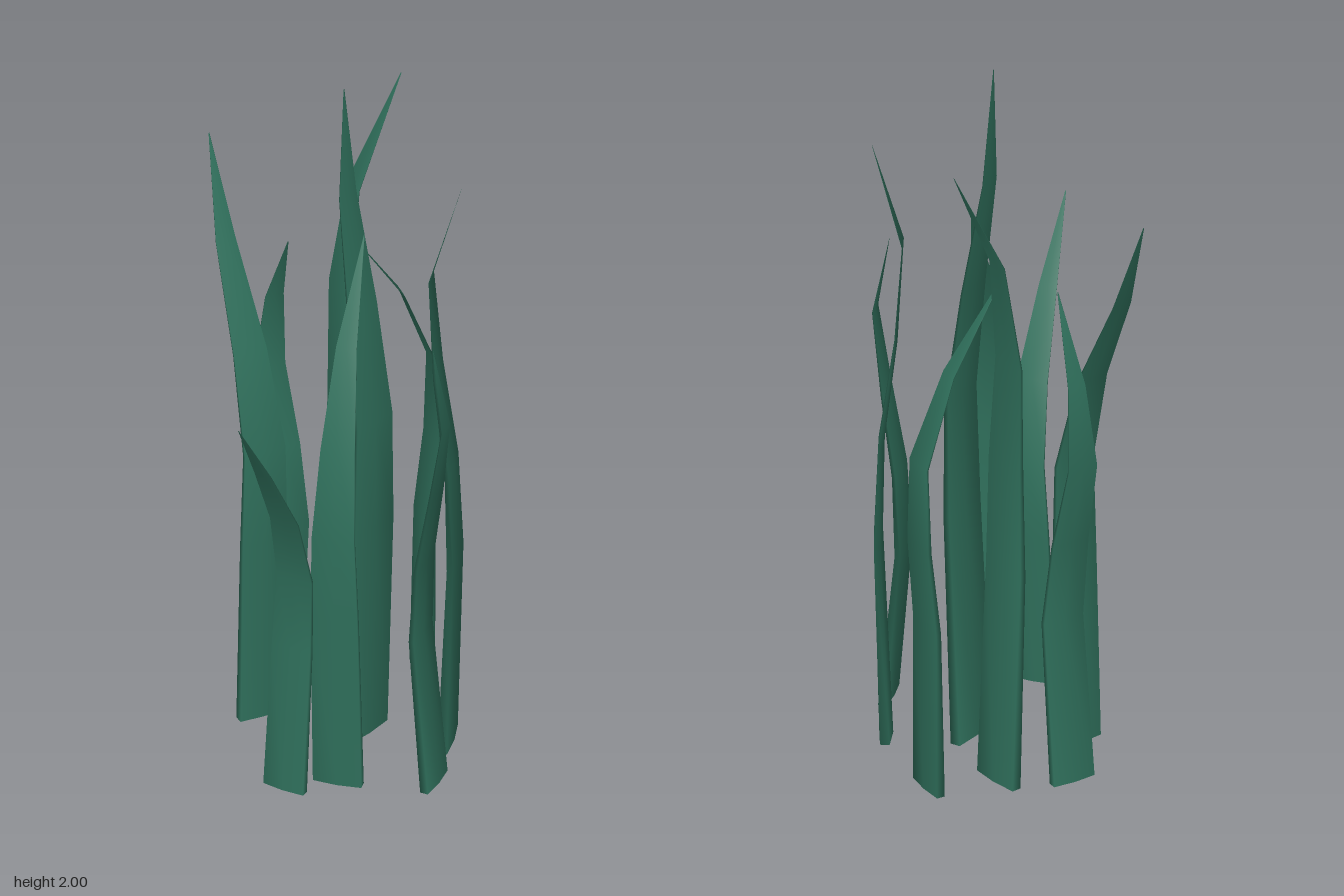
import * as THREE from 'three';

// Cross-section of a blade: across (half widths) and depth (share of width)
const SECTION = [[1, 0.09], [0, 0.13], [-1, 0.09], [-1, -0.09], [0, -0.13], [1, -0.09]];

// Sixths of the height at which a blade bends
const BENDS = [0, 2, 3, 4, 5, 6];

// Each blade: height, and the x and z of its centre line at each bend
const BLADES = [
  { h: 1.46, x: [0, 0, 0.01, 0.01, -0.025, -0.088], z: [-0.417, -0.425, -0.445, -0.447, -0.365, -0.22] },
  { h: 1.85, x: [-0.12, -0.12, -0.117, -0.13, -0.122, -0.087], z: [-0.275, -0.245, -0.24, -0.245, -0.285, -0.425] },
  { h: 1.41, x: [-0.272, -0.24, -0.265, -0.308, -0.287, -0.195], z: [-0.16, -0.16, -0.16, -0.163, -0.16, -0.12] },
  { h: 1.66, x: [-0.158, -0.147, -0.15, -0.217, -0.34, -0.435], z: [0.012, 0.015, 0.01, -0.003, -0.035, -0.067] },
  { h: 2.0, x: [0.085, 0.117, 0.122, 0.08, 0.027, 0.017], z: [-0.122, -0.12, -0.12, -0.12, -0.12, -0.116] },
  { h: 1.56, x: [0.205, 0.207, 0.212, 0.2, 0.145, 0.078], z: [0.088, 0.103, 0.113, 0.085, 0, -0.13] },
  { h: 1.305, x: [0.127, 0.13, 0.135, 0.155, 0.188, 0.223], z: [0.205, 0.182, 0.177, 0.235, 0.345, 0.468] },
  { h: 1.75, x: [0.265, 0.285, 0.28, 0.245, 0.23, 0.297], z: [-0.25, -0.258, -0.25, -0.235, -0.225, -0.27] },
  { h: 1.365, x: [0.378, 0.332, 0.345, 0.383, 0.422, 0.375], z: [-0.09, -0.087, -0.087, -0.093, -0.09, -0.09] },
];

// Sweeps the solid section up the centre line, narrowing and thinning to a point
function bladeGeometry({ h, x, z }) {
  const n = SECTION.length;
  const baseWidth = 0.053 + 0.05 * h;
  // The flat side faces the way the tip leans
  const lean = new THREE.Vector2(x[5] - x[3], z[5] - z[3]).normalize();
  const positions = [], index = [];
  BENDS.forEach((sixth, r) => {
    const t = sixth / 6;
    const w = baseWidth * Math.max(1 - t ** 3, 0.02);
    const thickness = w * Math.max(1 - t, 0.2);
    for (const [across, depth] of SECTION) {
      const u = across * w / 2, v = depth * thickness;
      positions.push(x[r] - lean.y * u + lean.x * v, t * h, z[r] + lean.x * u + lean.y * v);
    }
  });
  for (let r = 0; r < BENDS.length - 1; r++) {
    for (let i = 0; i < n; i++) {
      const a = r * n + i, b = r * n + (i + 1) % n;
      index.push(a, b, a + n, b, b + n, a + n);
    }
  }
  // Flat cap on the ground, with its own corners so the rim stays sharp
  const cap = BENDS.length * n;
  positions.push(...positions.slice(0, n * 3));
  for (let i = 1; i < n - 1; i++) index.push(cap, cap + i + 1, cap + i);

  const geometry = new THREE.BufferGeometry();
  geometry.setAttribute('position', new THREE.Float32BufferAttribute(positions, 3));
  geometry.setIndex(index);
  geometry.computeVertexNormals();
  return geometry;
}

export function createModel() {
  const group = new THREE.Group();
  group.name = 'grassTuft';
  const green = new THREE.MeshStandardMaterial({ color: 0x2f6f5b });
  green.name = 'deepGreen';
  BLADES.forEach((blade, i) => {
    const mesh = new THREE.Mesh(bladeGeometry(blade), green);
    mesh.name = `grassBlade${i + 1}`;
    group.add(mesh);
  });
  return group;
}
